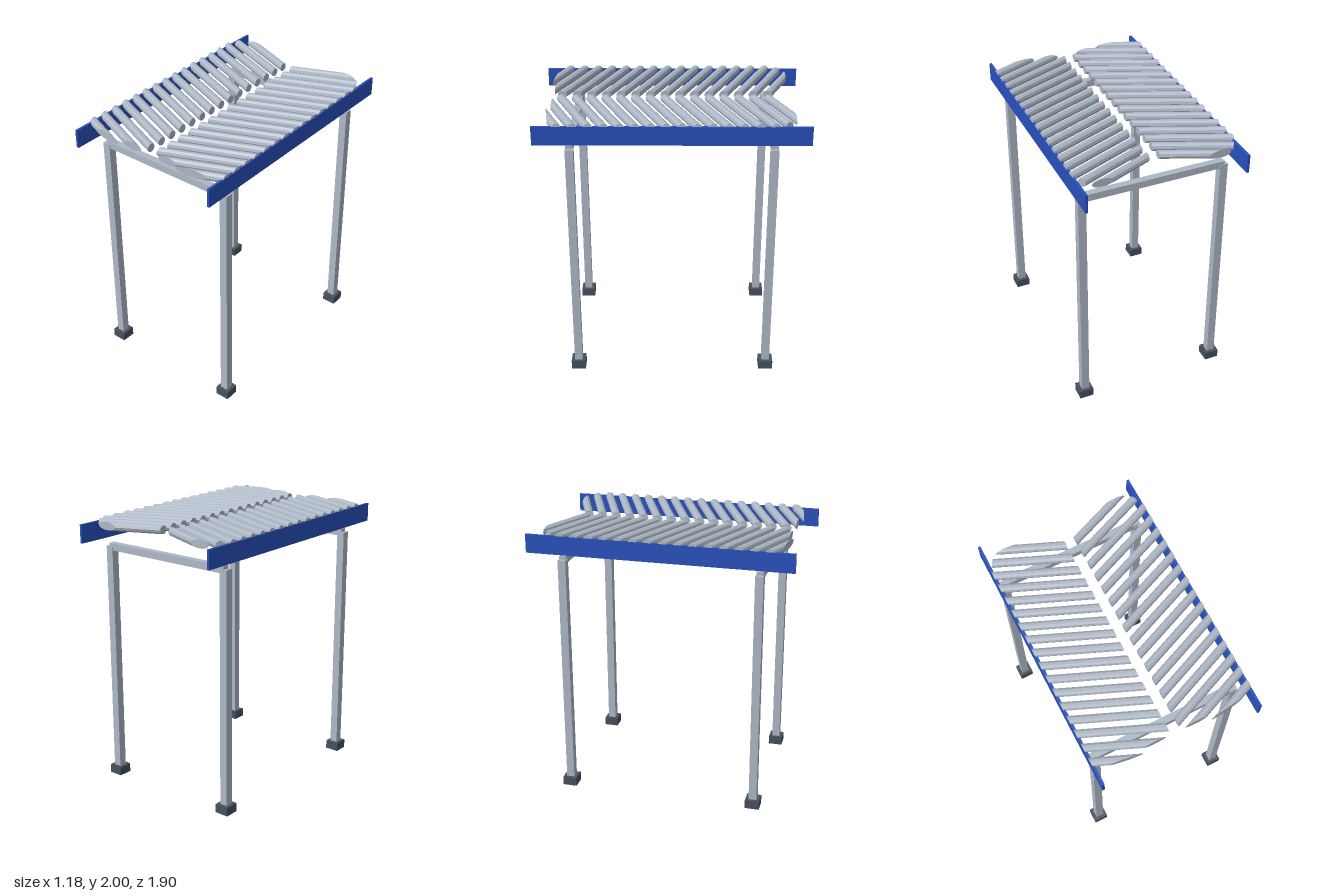
import * as THREE from 'three';

const SIDES = 10, RADIUS = 0.0305, ROLLER_Y = 1.971;
const INNER = 0.038, OUTER = 0.588, SLOPE = Math.tan(Math.PI / 8);

// One slanted roller, trimmed to the bed outline; side is +1 (left) or -1 (right)
function rollerGeometry(z0, side, last) {
  const pos = [], index = [];
  // front trim, slightly skewed on the last roller
  const skew = last ? 0.136 : 0;
  const front = last ? 0.919 : 0.853;
  for (let i = 0; i < SIDES; i++) {
    const t = (i / SIDES) * Math.PI * 2;
    const y = ROLLER_Y + RADIUS * Math.sin(t);
    const a = z0 + (RADIUS * Math.cos(t)) / Math.cos(Math.PI / 8);
    const zAt = (x) => a - SLOPE * (x - INNER);
    const x0 = Math.max(INNER, (a + SLOPE * INNER - front) / (SLOPE - skew));
    // back trim and bevelled back corner
    const back = INNER + (a + 0.85) / SLOPE;
    const bevel = (0.535 + 0.6 * (a + SLOPE * INNER + 0.82)) / (1 + 0.6 * SLOPE);
    const x1 = Math.max(x0, Math.min(OUTER, back, bevel));
    pos.push(side * x0, y, zAt(x0), side * x1, y, zAt(x1));
  }
  const tri = (a, b, c) => (side > 0 ? index.push(a, b, c) : index.push(a, c, b));
  for (let i = 0; i < SIDES; i++) {
    const p = 2 * i, q = 2 * ((i + 1) % SIDES);
    tri(p, p + 1, q);
    tri(q, p + 1, q + 1);
    if (i > 0 && i < SIDES - 1) {
      tri(0, p, q);
      tri(1, q + 1, p + 1);
    }
  }
  const g = new THREE.BufferGeometry();
  g.setAttribute('position', new THREE.Float32BufferAttribute(pos, 3));
  g.setIndex(index);
  const flat = g.toNonIndexed();
  flat.computeVertexNormals();
  return flat;
}

// Square foot socket, open in the middle
function footGeometry() {
  const square = (Type, h) => new Type([[-h, -h], [h, -h], [h, h], [-h, h]].map(([x, y]) => new THREE.Vector2(x, y)));
  const shape = square(THREE.Shape, 0.0525);
  shape.holes.push(square(THREE.Path, 0.029));
  const g = new THREE.ExtrudeGeometry(shape, { depth: 0.065, bevelEnabled: false });
  return g.rotateX(-Math.PI / 2);
}

export function createModel() {
  const model = new THREE.Group();
  model.name = 'rollerConveyor';
  const material = (name, color) => {
    const m = new THREE.MeshStandardMaterial({ color });
    m.name = name;
    return m;
  };
  const steel = material('steel grey', 0xaeb8c6);
  const blue = material('rail blue', 0x2850bc);
  const dark = material('foot slate', 0x46505d);

  const add = (name, geometry, mat, x = 0, y = 0, z = 0) => {
    const mesh = new THREE.Mesh(geometry, mat);
    mesh.name = name;
    mesh.position.set(x, y, z);
    model.add(mesh);
  };

  // Side rails, legs and feet
  const foot = footGeometry();
  for (const s of [1, -1]) {
    add('sideRail', new THREE.BoxGeometry(0.018, 0.135, 1.905), blue, s * 0.58, 1.91, 0);
    for (const z of [0.705, -0.705]) {
      add('leg', new THREE.BoxGeometry(0.058, 1.76, 0.058), steel, s * 0.524, 0.91, z);
      add('foot', foot, dark, s * 0.524, 0, z);
    }
  }

  // Cross beams
  for (const z of [0.705, -0.705]) {
    add('crossBeam', new THREE.BoxGeometry(1.055, 0.052, 0.05), steel, 0, 1.788, z);
  }

  // Herringbone rollers
  for (let k = 0; k < 17; k++) {
    for (const s of [1, -1]) {
      add('roller', rollerGeometry(-0.69 + k * 0.106, s, k === 16), steel);
    }
  }
  return model;
}
